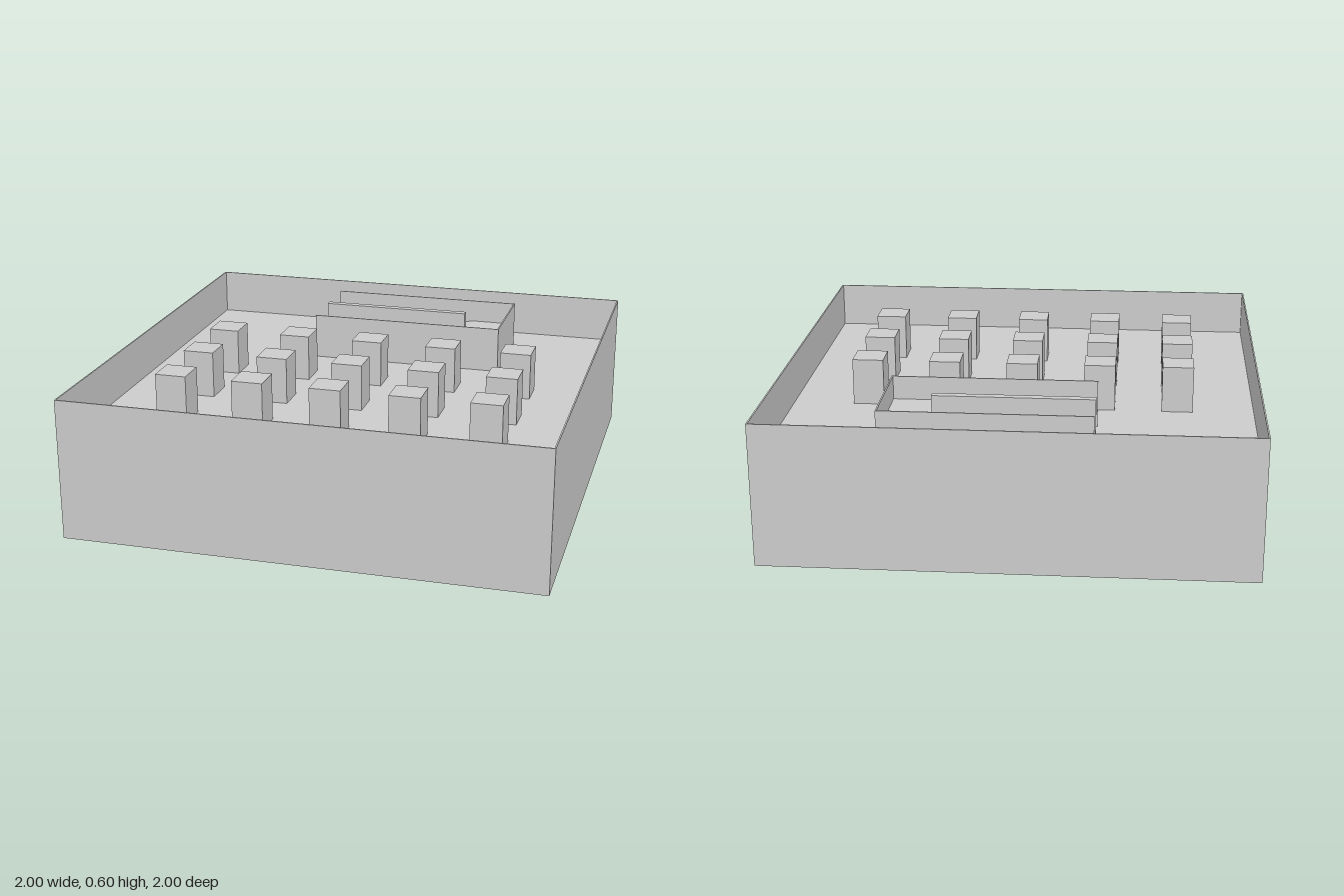
import * as THREE from 'three';

const FLOOR = 0.4, TOP = 0.6, LANDING = 0.5, T = 0.006;

export function createModel() {
  const group = new THREE.Group();
  const material = new THREE.MeshStandardMaterial({ color: 0xcccccc, flatShading: true });

  const add = (name, geometry) => {
    const mesh = new THREE.Mesh(geometry, material);
    mesh.name = name;
    group.add(mesh);
    return mesh;
  };

  // Box given by its minimum and maximum on each axis
  const block = (name, x0, x1, y0, y1, z0, z1) =>
    add(name, new THREE.BoxGeometry(x1 - x0, y1 - y0, z1 - z0))
      .position.set((x0 + x1) / 2, (y0 + y1) / 2, (z0 + z1) / 2);

  // Building body with the top deck
  block('deck', -1 + T, 1 - T, 0, FLOOR, -1 + T, 1 - T);

  // Thin outer walls rising above the deck
  for (const s of [-1, 1]) {
    const a = s < 0 ? -1 : 1 - T;
    block('sideWall', a, a + T, 0, TOP, -1 + T, 1 - T);
    block(s < 0 ? 'backWall' : 'frontWall', -1, 1, 0, TOP, a, a + T);
  }

  // Columns, five across and three deep
  const w = 0.133 / 2;
  for (let row = 0; row < 3; row++) {
    for (let col = -2; col <= 2; col++) {
      const x = col / 3, z = -0.12 + row * 0.327;
      block('column', x - w, x + w, FLOOR, TOP, z - w, z + w);
    }
  }

  // Ramp enclosure: two long walls, an end wall and a central divider
  const x0 = -0.333, x1 = 0.333, xEnd = 0.53, zBack = -0.815, zFront = -0.385;
  block('rampBackWall', x0, xEnd, FLOOR, TOP, zBack, zBack + T);
  block('rampFrontWall', x0, xEnd, FLOOR, TOP, zFront - T, zFront);
  block('rampEndWall', xEnd - T, xEnd, FLOOR, TOP, zBack + T, zFront - T);
  block('rampDivider', x0, x1, FLOOR, TOP, -0.62, -0.587);

  // Landing and the two sloped lanes that meet it
  block('landing', x1, xEnd - T, FLOOR, LANDING, zBack + T, zFront - T);
  const slope = new THREE.Shape([[x0, FLOOR], [x1, FLOOR], [x1, LANDING]].map(p => new THREE.Vector2(...p)));
  for (const [z0, z1] of [[zBack + T, -0.62], [-0.587, zFront - T]]) {
    add('ramp', new THREE.ExtrudeGeometry(slope, { depth: z1 - z0, bevelEnabled: false })).position.z = z0;
  }

  return group;
}
